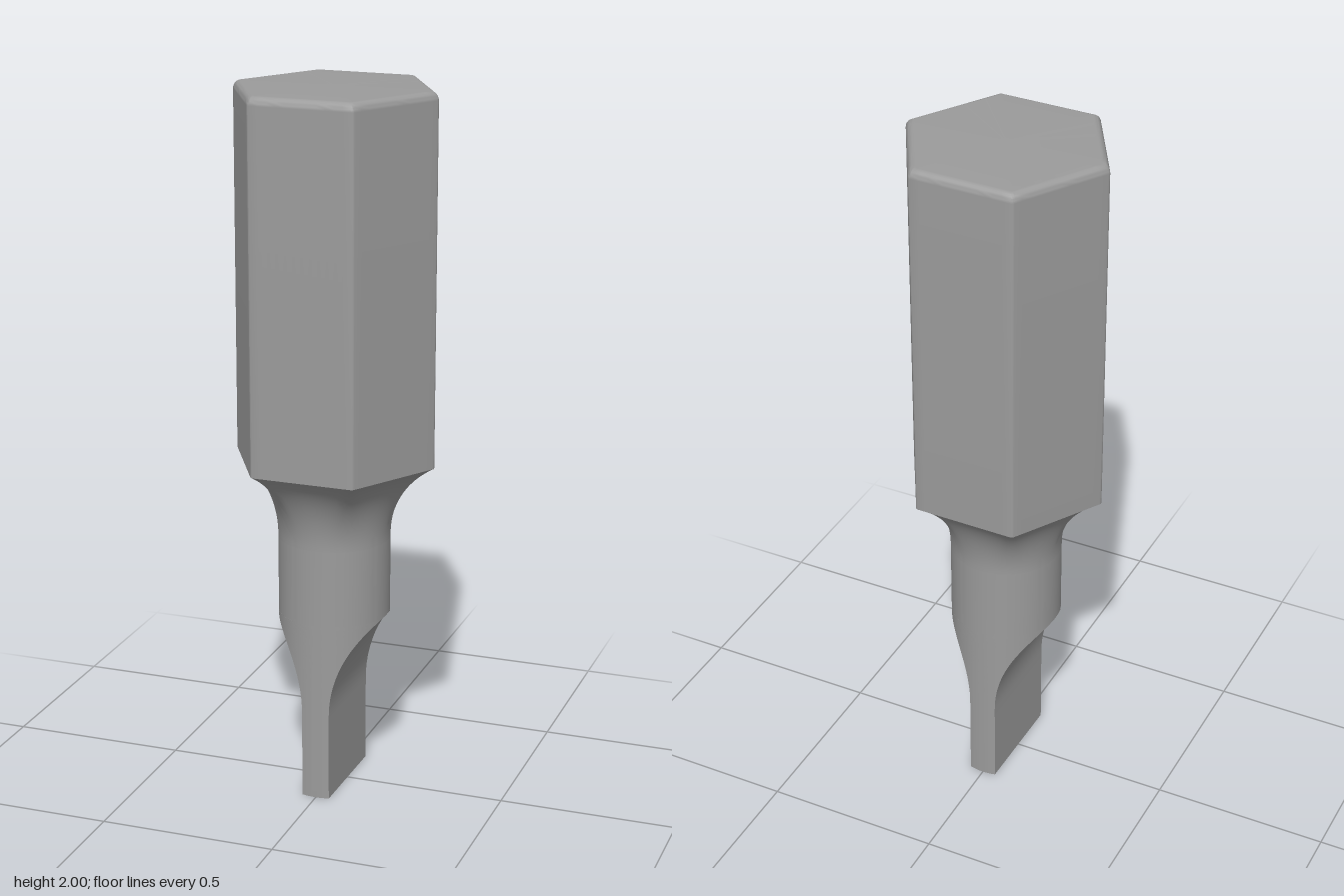
import * as THREE from 'three';
import { toCreasedNormals } from 'three/addons/utils/BufferGeometryUtils.js';
import { ParametricGeometry } from 'three/addons/geometries/ParametricGeometry.js';

const HEX_R = 0.291, CORNER = 0.01, SHAFT_R = 0.157, TIP = 0.04;
const HEX_BOTTOM = 0.965, NECK_BOTTOM = 0.74, CUT_TOP = 0.52, CUT_BOTTOM = 0.25;
const SIDES = 96; // 16 steps per hexagon side, 4 of them on the rounded corner

// Concave fillet: offset grows from 0 (vertical tangent) to `run` over `rise`
function fillet(d, run, rise) {
  if (d <= 0) return 0;
  const R = (run * run + rise * rise) / (2 * run);
  return R - Math.sqrt(R * R - Math.min(d, rise) ** 2);
}

// Point on the hexagon outline with slightly rounded corners, corners on +-x
function hexPoint(u) {
  const step = Math.PI / 3;
  const i = Math.round(u * SIDES) % SIDES;
  const k = Math.floor(i / 16), j = i % 16;
  const onCorner = (corner, t) => {
    const a = step * (corner + 0.5), b = a + (t - 0.5) * step;
    return new THREE.Vector2(Math.sin(a), Math.cos(a)).multiplyScalar(HEX_R - CORNER)
      .add(new THREE.Vector2(Math.sin(b), Math.cos(b)).multiplyScalar(CORNER));
  };
  return j <= 4 ? onCorner(k, j / 4) : onCorner(k, 1).lerp(onCorner(k + 1, 0), (j - 4) / 12);
}

export function createModel() {
  const group = new THREE.Group();
  const material = new THREE.MeshStandardMaterial({ color: 0x9b9b9b });

  const add = (name, geometry, turn = 0) => {
    const mesh = new THREE.Mesh(toCreasedNormals(geometry, 0.5), material);
    mesh.name = name;
    mesh.rotation.y = turn;
    group.add(mesh);
  };
  const surface = (fn, nu, nv) =>
    new ParametricGeometry((u, v, target) => target.set(...fn(u, v)), nu, nv);

  // Hexagonal shank: rows of [radius, height], narrow rows keep the flats flat
  const bevel = 0.024, guard = 0.001;
  const rows = [[HEX_R, HEX_BOTTOM], [HEX_R, 2 - bevel - guard]];
  for (let i = 0; i <= 6; i++) {
    const a = (i / 6) * Math.PI / 2;
    rows.push([HEX_R - bevel + bevel * Math.cos(a), 2 - bevel + bevel * Math.sin(a)]);
  }
  rows.push([HEX_R - bevel - guard, 2], [0, 2]);
  add('hexShank', surface((u, v) => {
    const [r, y] = rows[Math.round(v * (rows.length - 1))];
    const p = hexPoint(u).multiplyScalar(r / HEX_R);
    return [p.x, y, p.y];
  }, SIDES, rows.length - 1));

  // Neck blending the hexagon into the round shaft
  const run = HEX_R - SHAFT_R, rise = HEX_BOTTOM - NECK_BOTTOM;
  add('neck', surface((u, v) => {
    const a = u * Math.PI * 2 + Math.PI / 8;
    const blend = fillet(v * rise, run, rise) / run;
    const p = new THREE.Vector2(Math.sin(a), Math.cos(a)).multiplyScalar(SHAFT_R)
      .lerp(hexPoint(u), blend);
    return [p.x, NECK_BOTTOM + v * rise, p.y];
  }, SIDES, 20));

  // Round shaft
  const shaft = new THREE.CylinderGeometry(
    SHAFT_R, SHAFT_R, NECK_BOTTOM - CUT_TOP, SIDES, 1, true);
  shaft.translate(0, (NECK_BOTTOM + CUT_TOP) / 2, 0);
  add('shaft', shaft);

  // Blade: the round shaft hollowed from both sides; rows crowd towards the top
  const rowY = (v) => CUT_TOP * (1 - (1 - v) ** 2);
  const halfThickness = (y) =>
    TIP + fillet(y - CUT_BOTTOM, SHAFT_R - TIP, CUT_TOP - CUT_BOTTOM);
  const halfWidth = (x) => Math.sqrt(Math.max(0, SHAFT_R ** 2 - x * x));

  const bladeFace = (u, v) => {
    const y = rowY(v), x = halfThickness(y);
    return [x, y, (1 - 2 * u) * halfWidth(x)];
  };
  const bladeEdge = (u, v) => {
    const y = rowY(v);
    const a = (2 * u - 1) * Math.asin(Math.min(1, halfThickness(y) / SHAFT_R));
    return [SHAFT_R * Math.sin(a), y, SHAFT_R * Math.cos(a)];
  };
  for (const [side, turn] of [['A', 0], ['B', Math.PI]]) {
    add('bladeFace' + side, surface(bladeFace, 12, 40), turn);
    add('bladeEdge' + side, surface(bladeEdge, SIDES / 2, 40), turn);
  }

  // Flat end of the blade
  add('bladeTip', surface((u, v) => {
    const x = (2 * u - 1) * TIP;
    return [x, 0, (2 * v - 1) * halfWidth(x)];
  }, SIDES / 2, 1));

  // The whole bit sits turned very slightly
  group.rotation.y = -0.015;
  return group;
}
